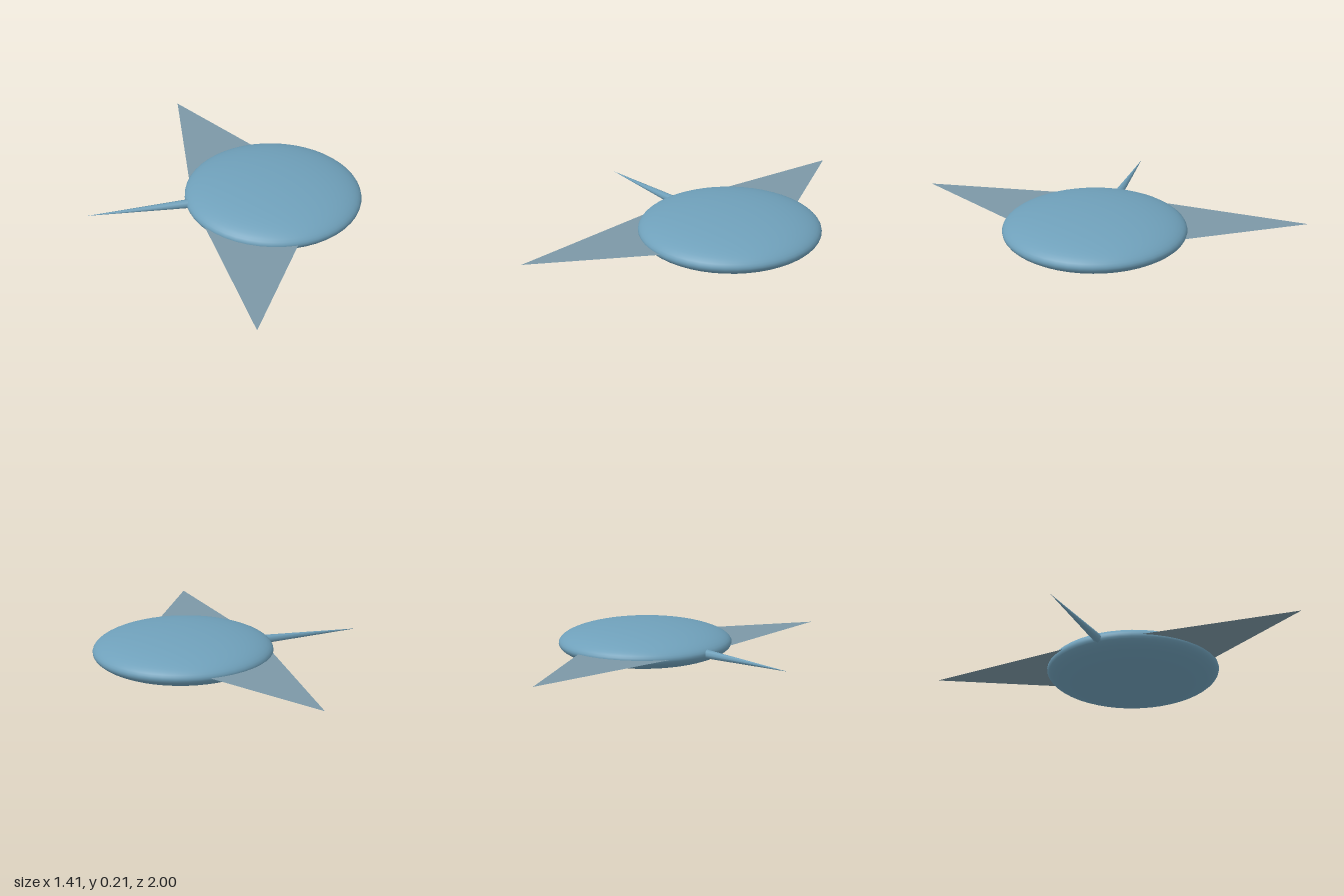
import * as THREE from 'three';

const MID = 0.108; // height of the body's widest plane

function part(name, geometry, color, side = THREE.FrontSide) {
  const mesh = new THREE.Mesh(geometry, new THREE.MeshStandardMaterial({ color, side }));
  mesh.name = name;
  return mesh;
}

export function createModel() {
  const group = new THREE.Group();
  group.name = 'ray';

  // Flattened round body
  const body = part('body', new THREE.SphereGeometry(1, 48, 32), 0x6fa0ba);
  body.scale.set(0.452, 0.103, 0.452);
  body.position.set(0.25, MID, 0);
  group.add(body);

  // Thin tapering tail along -x, its base sunk into the body
  const tailLength = 0.515;
  const tail = part('tail', new THREE.ConeGeometry(0.023, tailLength, 8), 0x6fa0ba);
  tail.rotation.z = Math.PI / 2;
  tail.position.set(-0.19 - tailLength / 2, MID, 0);
  group.add(tail);

  // Flat triangular fins, one on each side, with roots inside the body
  for (const s of [1, -1]) {
    const outline = new THREE.Shape([
      new THREE.Vector2(-0.158, s * 0.1),
      new THREE.Vector2(0.354, s * 0.3),
      new THREE.Vector2(-0.07, s),
    ]);
    const geometry = new THREE.ShapeGeometry(outline);
    geometry.rotateX(-Math.PI / 2);
    const fin = part(s > 0 ? 'backFin' : 'frontFin', geometry, 0x7c98a6, THREE.DoubleSide);
    fin.position.y = MID;
    group.add(fin);
  }

  return group;
}
